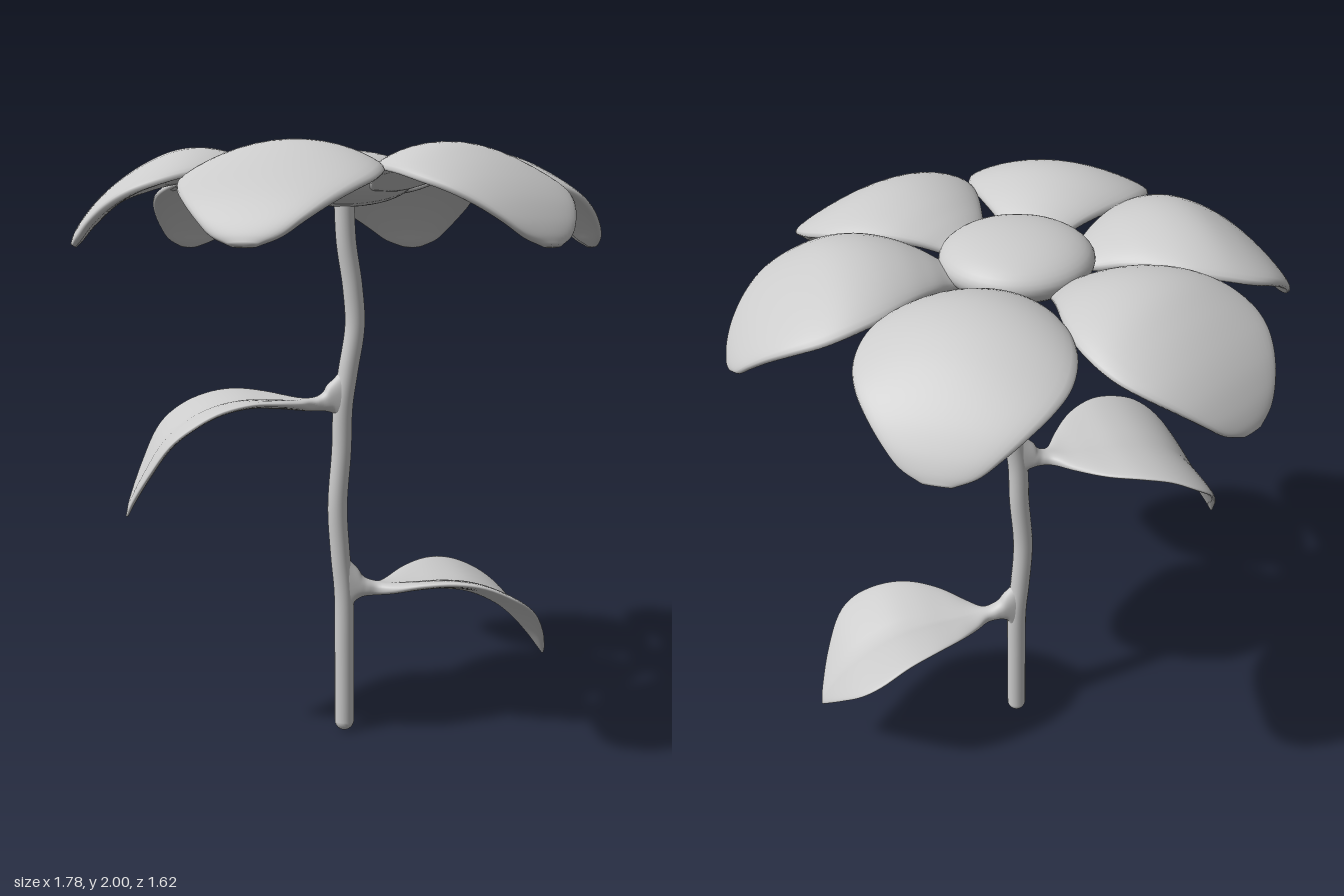
import * as THREE from 'three';

const material = new THREE.MeshStandardMaterial({ color: 0xcccccc, side: THREE.DoubleSide });

// Closed blade lofted along +x. Rows: [x, y, half width, edge rise, half thickness].
// The edges are raised (or lowered) by rise * |across|^power; fullness < 1 plumps the rim.
function bladeGeometry(rows, power, fullness, steps = 56, sides = 36) {
  const spline = (pick) => new THREE.CatmullRomCurve3(rows.map(pick), false, 'catmullrom', 0.5);
  const spine = spline((r) => new THREE.Vector3(r[0], r[1], 0));
  const size = spline((r) => new THREE.Vector3(r[2], r[3], r[4]));
  const positions = [];
  const index = [];
  for (let i = 0; i <= steps; i++) {
    const t = i / steps;
    const p = spine.getPoint(t);
    const d = spine.getTangent(t);
    const s = size.getPoint(t);
    for (let j = 0; j < sides; j++) {
      const a = (j / sides) * Math.PI * 2;
      const n = s.z * Math.sign(Math.sin(a)) * Math.pow(Math.abs(Math.sin(a)), fullness);
      const lift = s.y * Math.pow(Math.abs(Math.cos(a)), power);
      positions.push(p.x - d.y * n, p.y + d.x * n + lift, s.x * Math.cos(a));
      if (i < steps) {
        const k = (j + 1) % sides;
        const a0 = i * sides + j, a1 = i * sides + k;
        const b0 = a0 + sides, b1 = a1 + sides;
        index.push(a0, b0, b1, a0, b1, a1);
      }
    }
  }
  // Close the tip
  const tip = spine.getPoint(1);
  positions.push(tip.x, tip.y, 0);
  const last = steps * sides;
  for (let j = 0; j < sides; j++) index.push(last + j, last + sides, last + ((j + 1) % sides));
  const g = new THREE.BufferGeometry();
  g.setAttribute('position', new THREE.Float32BufferAttribute(positions, 3));
  g.setIndex(index);
  g.computeVertexNormals();
  return g;
}

function add(parent, name, geometry) {
  const mesh = new THREE.Mesh(geometry, material);
  mesh.name = name;
  parent.add(mesh);
  return mesh;
}

export function createModel() {
  const model = new THREE.Group();
  model.name = 'flower';

  // Wavy stem with a rounded foot
  const stemPath = new THREE.CatmullRomCurve3([
    [0.002, 0.035], [0.002, 0.3], [0, 0.5], [-0.012, 0.63], [-0.022, 0.8], [-0.008, 1.0],
    [-0.003, 1.15], [0.015, 1.27], [0.038, 1.42], [0.03, 1.55], [0.008, 1.7], [0, 1.86],
  ].map(([x, y]) => new THREE.Vector3(x, y, 0)));
  add(model, 'stem', new THREE.TubeGeometry(stemPath, 80, 0.034, 20));
  add(model, 'stemFoot', new THREE.SphereGeometry(0.034, 20, 12)).position.set(0.002, 0.036, 0);

  // Flower centre: a flattened ball
  const centre = add(model, 'flowerCentre', new THREE.SphereGeometry(0.235, 48, 24));
  centre.scale.y = 0.39;
  centre.position.y = 1.905;

  // Six drooping petals, hollow beneath
  const petal = bladeGeometry([
    [0.15, 1.87, 0.04, 0, 0.02],
    [0.22, 1.885, 0.085, -0.01, 0.022],
    [0.29, 1.92, 0.145, -0.02, 0.026],
    [0.37, 1.952, 0.21, -0.04, 0.028],
    [0.46, 1.969, 0.268, -0.06, 0.028],
    [0.55, 1.96, 0.297, -0.065, 0.028],
    [0.64, 1.92, 0.298, -0.05, 0.028],
    [0.72, 1.866, 0.268, -0.025, 0.028],
    [0.785, 1.81, 0.218, -0.008, 0.026],
    [0.835, 1.755, 0.16, 0, 0.022],
    [0.865, 1.712, 0.105, 0, 0.018],
    [0.882, 1.685, 0.04, 0, 0.01],
  ], 2, 0.7);
  const petals = new THREE.Group();
  petals.name = 'petals';
  for (let i = 0; i < 6; i++) add(petals, 'petal', petal).rotation.y = (i * Math.PI) / 3;
  model.add(petals);

  // Lower leaf: the stalk flares out of the stem, then opens into a shallow V
  add(model, 'leftLeaf', bladeGeometry([
    [0.005, 0.52, 0.03, 0, 0.12],
    [0.034, 0.52, 0.03, 0, 0.075],
    [0.055, 0.517, 0.03, 0, 0.045],
    [0.08, 0.513, 0.03, 0, 0.031],
    [0.12, 0.508, 0.035, 0, 0.024],
    [0.17, 0.505, 0.08, 0.012, 0.02],
    [0.25, 0.507, 0.145, 0.035, 0.017],
    [0.35, 0.508, 0.2, 0.048, 0.016],
    [0.45, 0.493, 0.232, 0.05, 0.016],
    [0.55, 0.448, 0.248, 0.05, 0.016],
    [0.62, 0.393, 0.22, 0.05, 0.015],
    [0.68, 0.323, 0.135, 0.035, 0.013],
    [0.72, 0.265, 0.05, 0.012, 0.01],
    [0.735, 0.235, 0.006, 0, 0.004],
  ], 0.9, 0.8));

  // Upper leaf, on the opposite side
  add(model, 'rightLeaf', bladeGeometry([
    [0.0, 1.175, 0.03, 0, 0.1],
    [0.036, 1.172, 0.03, 0, 0.062],
    [0.058, 1.166, 0.03, 0, 0.038],
    [0.085, 1.16, 0.03, 0, 0.026],
    [0.12, 1.157, 0.045, 0, 0.022],
    [0.17, 1.157, 0.115, 0.01, 0.018],
    [0.25, 1.162, 0.2, 0.02, 0.016],
    [0.35, 1.162, 0.255, 0.026, 0.016],
    [0.45, 1.14, 0.276, 0.028, 0.016],
    [0.54, 1.093, 0.284, 0.03, 0.016],
    [0.61, 1.025, 0.245, 0.035, 0.015],
    [0.67, 0.93, 0.15, 0.025, 0.013],
    [0.715, 0.85, 0.055, 0.008, 0.01],
    [0.735, 0.8, 0.006, 0, 0.004],
  ], 0.9, 0.8)).rotation.y = Math.PI;

  return model;
}
